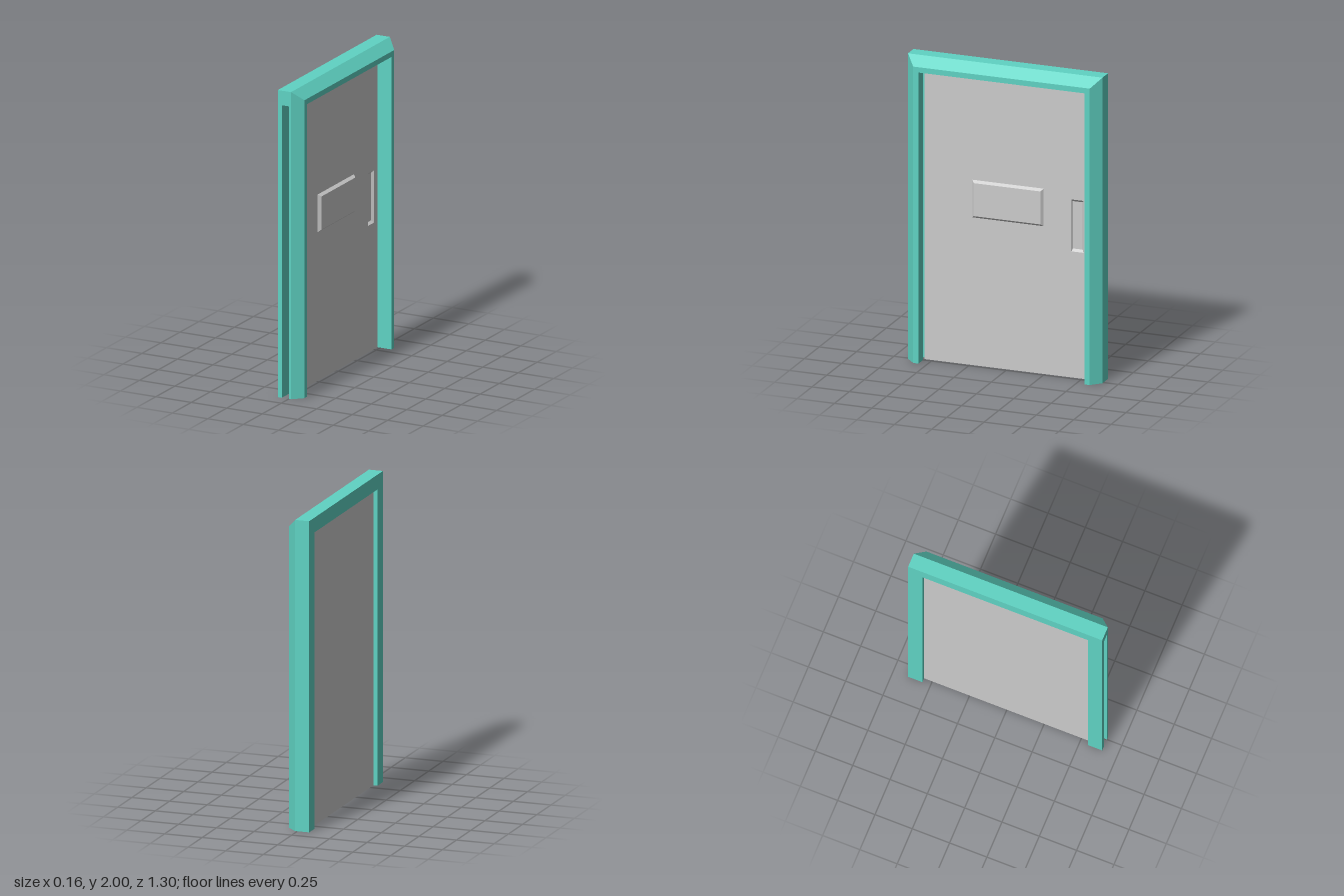
import * as THREE from 'three';

// Joins convex cross-sections (arrays of [x, y, z]) into a closed, flat-shaded solid.
function loft(sections) {
  const pos = [];
  const tri = (a, b, c) => pos.push(...a, ...b, ...c);
  const n = sections[0].length;
  for (let s = 0; s < sections.length - 1; s++) {
    const p = sections[s], q = sections[s + 1];
    for (let i = 0; i < n; i++) {
      const j = (i + 1) % n;
      tri(p[i], p[j], q[j]);
      tri(p[i], q[j], q[i]);
    }
  }
  const first = sections[0], last = sections[sections.length - 1];
  for (let i = 1; i < n - 1; i++) {
    tri(first[0], first[i + 1], first[i]);
    tri(last[0], last[i], last[i + 1]);
  }
  // Turn the faces outward when the enclosed volume comes out negative.
  let volume = 0;
  const a = new THREE.Vector3(), b = new THREE.Vector3(), c = new THREE.Vector3();
  for (let i = 0; i < pos.length; i += 9) {
    volume += a.fromArray(pos, i).dot(b.fromArray(pos, i + 3).cross(c.fromArray(pos, i + 6)));
  }
  if (volume < 0) {
    for (let i = 0; i < pos.length; i += 9) {
      for (let k = 0; k < 3; k++) [pos[i + 3 + k], pos[i + 6 + k]] = [pos[i + 6 + k], pos[i + 3 + k]];
    }
  }
  const g = new THREE.BufferGeometry();
  g.setAttribute('position', new THREE.Float32BufferAttribute(pos, 3));
  g.computeVertexNormals();
  return g;
}

// Upright rectangle at depth x.
const rect = (x, z0, z1, y0, y1) => [[x, y0, z0], [x, y0, z1], [x, y1, z1], [x, y1, z0]];

export function createModel() {
  const model = new THREE.Group();
  const teal = new THREE.MeshStandardMaterial({ color: 0x5fd3c3, flatShading: true });
  const grey = new THREE.MeshStandardMaterial({ color: 0xcccccc, flatShading: true });
  const add = (parent, name, geometry, material) => {
    const mesh = new THREE.Mesh(geometry, material);
    mesh.name = name;
    parent.add(mesh);
  };

  const H = 2, W = 0.65, T = 0.095;       // height, half width, frame width
  const back = -0.078, front = 0.078;     // frame depth
  const slotBack = -0.05, slotFront = 0;  // slot the door slides through
  const top = H - T, inner = W - T;

  // Frame profiles as [inset from the outer edge, x].
  const bevel = [[0, 0.015], [0.06, front], [T, front]];
  const full = [[T, back], [0, back], ...bevel];
  const backStrip = [[T, back], [0, back], [0, slotBack], [T, slotBack]];
  const frontStrip = [[T, slotFront], [0, slotFront], ...bevel];
  const foot = (profile, side) => profile.map(([d, x]) => [x, 0, side * (W - d)]);
  const mitre = (profile, side) => profile.map(([d, x]) => [x, H - d, side * (W - d)]);

  const frame = new THREE.Group();
  frame.name = 'frame';
  model.add(frame);
  // Header and solid jamb in one sweep, mitred at the corners.
  add(frame, 'headerAndSolidJamb', loft([mitre(full, 1), mitre(full, -1), foot(full, -1)]), teal);
  // Slotted jamb: two strips with a gap for the door.
  add(frame, 'slottedJambBack', loft([foot(backStrip, 1), mitre(backStrip, 1)]), teal);
  add(frame, 'slottedJambFront', loft([foot(frontStrip, 1), mitre(frontStrip, 1)]), teal);
  // Corner that closes the top of the slot.
  const corner = x => [[x, H, W], [x, top, W], [x, top, inner]];
  add(frame, 'slotCorner', loft([corner(slotBack), corner(slotFront)]), teal);

  // Door leaf with a recessed finger pull.
  const door = new THREE.Group();
  door.name = 'door';
  model.add(door);
  const face = -0.02;
  add(door, 'doorLeaf', loft([
    rect(slotBack, -inner, inner, 0, top),
    rect(face, -inner, inner, 0, top),
    rect(face, -0.51, -0.43, 0.825, 1.165),
    rect(face - 0.016, -0.497, -0.43, 0.84, 1.15),
  ]), grey);

  // Raised panel with bevelled edges.
  add(door, 'raisedPanel', loft([
    rect(face, -0.243, 0.233, 0.967, 1.213),
    rect(-0.002, -0.228, 0.218, 0.982, 1.198),
  ]), grey);

  return model;
}
